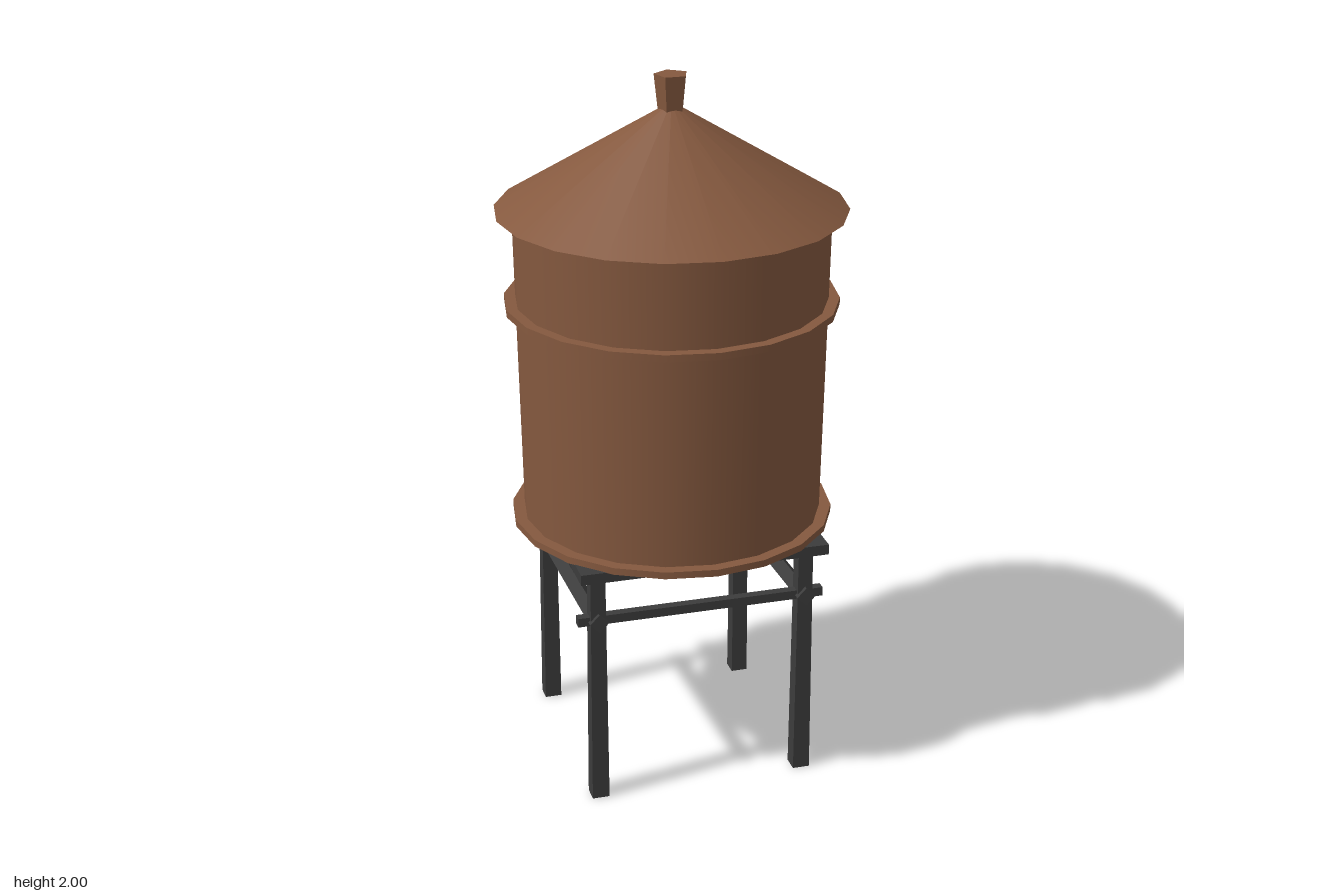
import * as THREE from 'three';

export function createModel() {
  const model = new THREE.Group();
  const wood = new THREE.MeshStandardMaterial({ color: 0x85593f });
  wood.name = 'brown wood';
  const iron = new THREE.MeshStandardMaterial({ color: 0x3c3c3c });
  iron.name = 'dark iron';
  const SIDES = 20;

  function add(name, geometry, material, x, y, z) {
    const mesh = new THREE.Mesh(geometry, material);
    mesh.name = name;
    mesh.position.set(x, y, z);
    model.add(mesh);
    return mesh;
  }

  // Upright round part between two heights
  function round(name, rTop, rBottom, y0, y1, sides = SIDES) {
    const geometry = new THREE.CylinderGeometry(rTop, rBottom, y1 - y0, sides);
    return add(name, geometry, wood, 0, (y0 + y1) / 2, 0);
  }

  // Tank, hoops and roof
  round('tank', 0.44, 0.424, 0.74, 1.635);
  round('baseHoop', 0.457, 0.457, 0.725, 0.745);
  round('upperHoop', 0.466, 0.466, 1.355, 1.375);
  add('roof', new THREE.ConeGeometry(0.487, 0.295, SIDES), wood, 0, 1.63 + 0.1475, 0);

  // Five-sided finial, widening upwards
  const finial = round('finial', 0.048, 0.037, 1.9, 2.0, 5);
  finial.geometry = finial.geometry.toNonIndexed();
  finial.geometry.computeVertexNormals();
  finial.rotation.y = Math.PI;

  // Square platform
  add('platform', new THREE.BoxGeometry(0.71, 0.03, 0.71), iron, 0, 0.711, 0);

  // Slightly tapered square legs
  const leg = new THREE.CylinderGeometry(0.042 / Math.SQRT2, 0.049 / Math.SQRT2, 0.7, 4)
    .rotateY(Math.PI / 4).toNonIndexed();
  leg.computeVertexNormals();
  for (const x of [-0.3, 0.3]) {
    for (const z of [-0.3, 0.3]) add('leg', leg, iron, x, 0.35, z);
  }

  // Level braces at front and back, sloping diamond-section braces at the sides
  const levelBrace = new THREE.BoxGeometry(0.71, 0.026, 0.026);
  const slopingBrace = new THREE.BoxGeometry(0.038, 0.038, 0.67).rotateZ(Math.PI / 4);
  for (const s of [-1, 1]) {
    add('levelBrace', levelBrace, iron, 0, 0.56, s * 0.3);
    add('slopingBrace', slopingBrace, iron, s * 0.3, 0.545, 0).rotation.x = -0.045;
  }

  return model;
}
